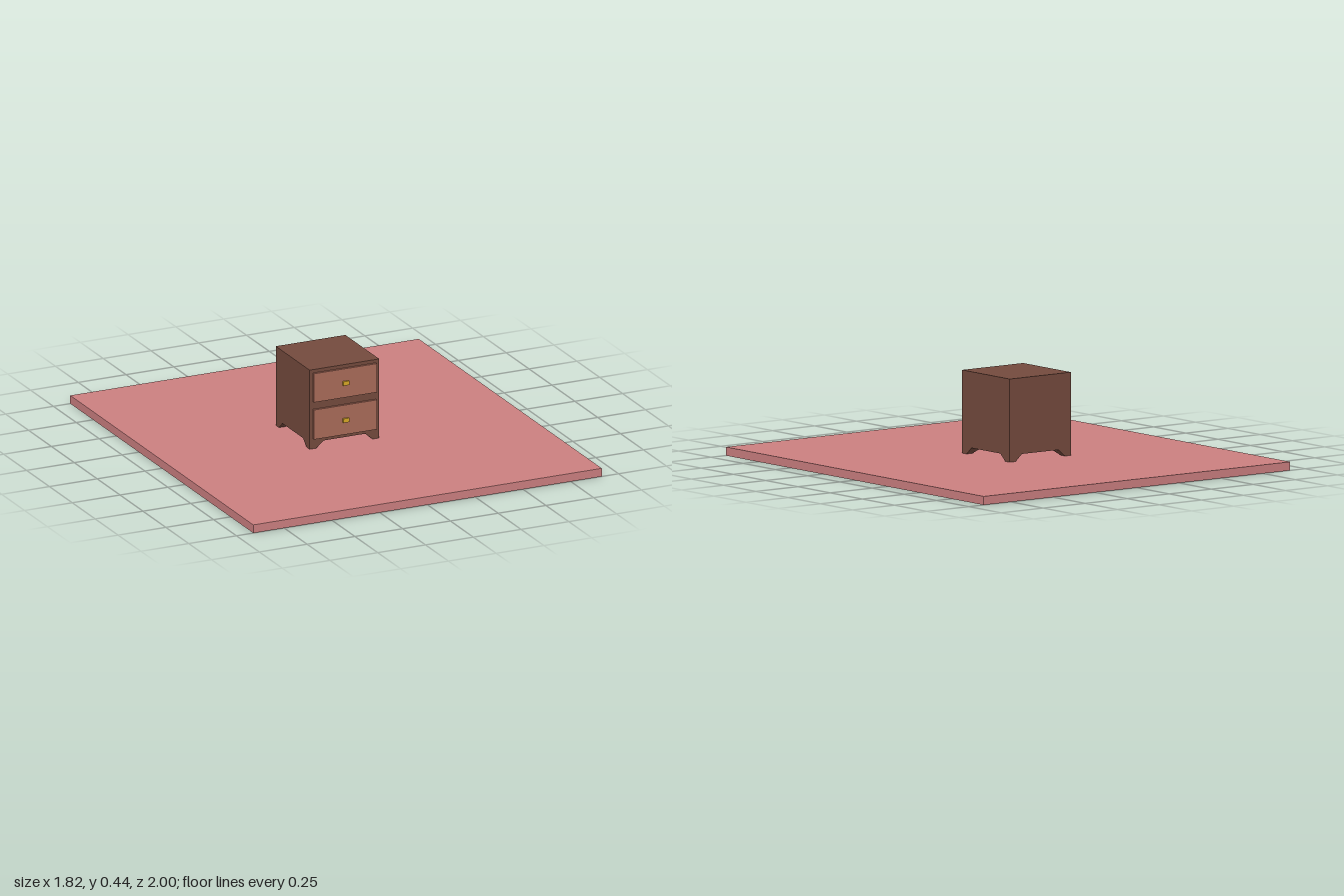
import * as THREE from 'three';

const material = (color) => new THREE.MeshStandardMaterial({ color, flatShading: true });

export function createModel() {
  const model = new THREE.Group();
  model.name = 'nightstandOnRug';
  const rugPink = material(0xcb7f80);
  const darkWood = material(0x744a3d);
  const lightWood = material(0xa96b59);
  const brass = material(0xd9a826);

  // Box given by its centre x, bottom y, centre z and size
  function box(parent, name, mat, [w, h, d], [x, y, z]) {
    const mesh = new THREE.Mesh(new THREE.BoxGeometry(w, h, d), mat);
    mesh.position.set(x, y + h / 2, z);
    mesh.name = name;
    parent.add(mesh);
    return mesh;
  }

  // Flat floor slab
  box(model, 'floorSlab', rugPink, [1.824, 0.041, 2], [0, 0, 0]);

  // Cabinet, slightly off the middle of the slab
  const cabinet = new THREE.Group();
  cabinet.name = 'cabinet';
  cabinet.position.set(-0.035, 0.041, -0.02);
  model.add(cabinet);
  const width = 0.364, depth = 0.37, legHeight = 0.033;
  box(cabinet, 'body', darkWood, [width, 0.364, depth], [0, legHeight, 0]);

  // Legs: flush on the outer corner, tapering on the two inner sides
  const legTop = 0.073, legFoot = 0.035;
  for (const sx of [-1, 1]) {
    for (const sz of [-1, 1]) {
      const leg = box(cabinet, 'leg', darkWood, [legTop, legHeight, legTop],
        [sx * (width - legTop) / 2, 0, sz * (depth - legTop) / 2]);
      const p = leg.geometry.attributes.position;
      for (let i = 0; i < p.count; i++) {
        if (p.getY(i) > 0) continue;
        if (p.getX(i) * sx < 0) p.setX(i, sx * (legTop / 2 - legFoot));
        if (p.getZ(i) * sz < 0) p.setZ(i, sz * (legTop / 2 - legFoot));
      }
      leg.geometry.computeVertexNormals();
    }
  }

  // Two drawer fronts, each with a small brass handle
  const front = depth / 2;
  for (const [name, y, h, handleY] of [
    ['lowerDrawer', 0.05, 0.148, 0.113],
    ['upperDrawer', 0.236, 0.144, 0.299],
  ]) {
    const drawer = new THREE.Group();
    drawer.name = name;
    cabinet.add(drawer);
    box(drawer, 'drawerFront', lightWood, [0.328, h, 0.022], [0, y, front + 0.001]);
    box(drawer, 'handle', brass, [0.032, 0.02, 0.014], [0, handleY, front + 0.014]);
  }
  return model;
}
